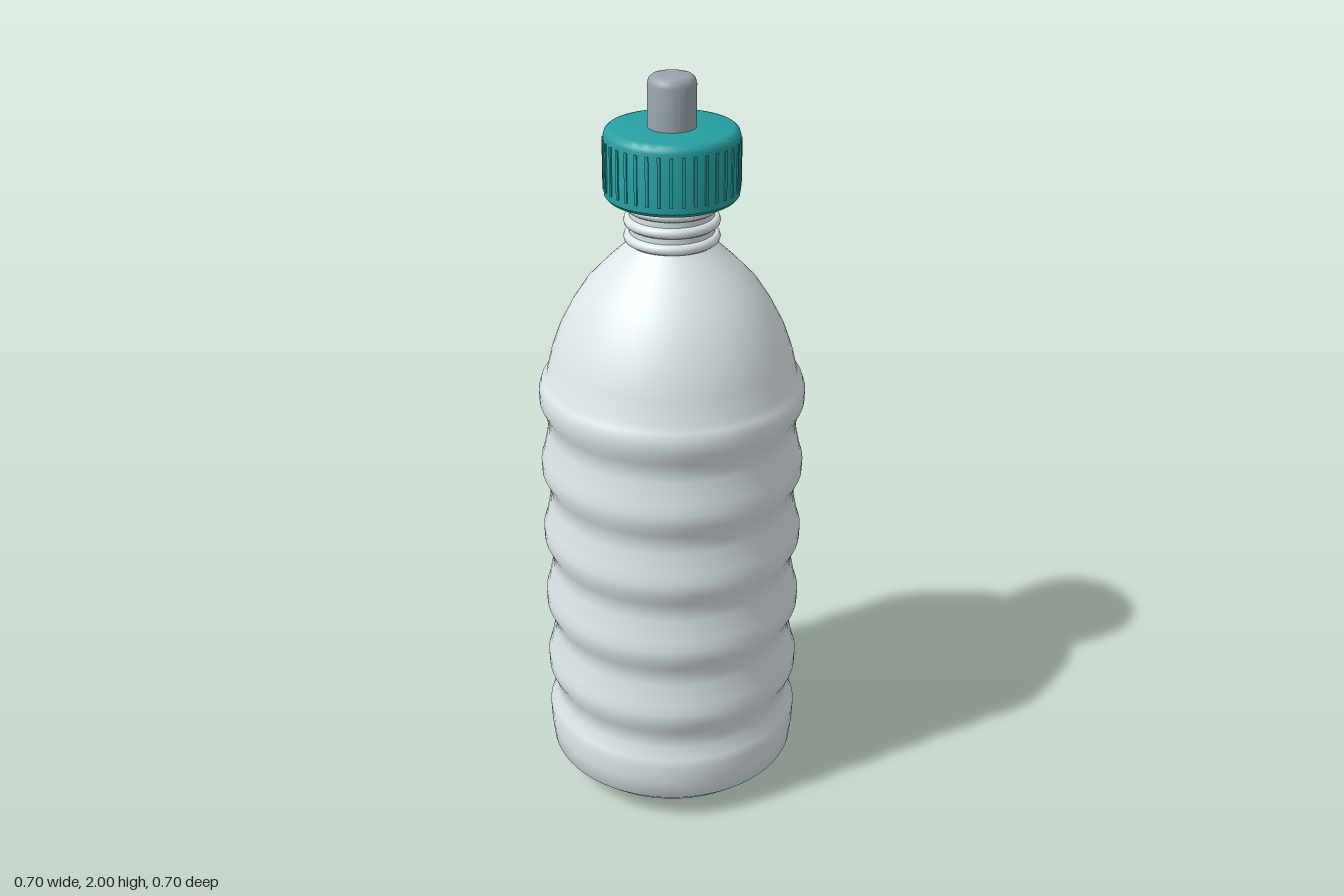
import * as THREE from 'three';
import { toCreasedNormals } from 'three/addons/utils/BufferGeometryUtils.js';

const mat = (color) => new THREE.MeshStandardMaterial({ color });

// Revolves [radius, height] pairs, listed from bottom to top
function lathe(name, points, material, crease) {
  let geo = new THREE.LatheGeometry(points.map(([r, y]) => new THREE.Vector2(r, y)), 64);
  if (crease) geo = toCreasedNormals(geo, crease);
  const mesh = new THREE.Mesh(geo, material);
  mesh.name = name;
  return mesh;
}

export function createModel() {
  const model = new THREE.Group();
  model.name = 'squeezeBottle';
  const plastic = mat(0xdce6e8);
  plastic.side = THREE.DoubleSide;
  const teal = mat(0x26a0a2);
  const grey = mat(0x98a4ab);

  // Body: shallow pointed base, five grip ridges, domed shoulder
  const profile = [[0, 0], [0.15, 0.018], [0.28, 0.033], [0.31, 0.045], [0.342, 0.075], [0.348, 0.13], [0.35, 0.18], [0.342, 0.2]];
  for (let i = 0; i < 5; i++) {
    const y = 0.335 + i * 0.205;
    profile.push([0.33, y - 0.1], [0.329, y - 0.075], [0.335, y - 0.045], [0.349, y - 0.015], [0.35, y + 0.02], [0.342, y + 0.045]);
  }
  profile.push([0.329, 1.215], [0.315, 1.275], [0.292, 1.34], [0.26, 1.402], [0.222, 1.46], [0.17, 1.515], [0.12, 1.562], [0.108, 1.575]);
  model.add(lathe('body', profile, plastic));

  // Neck with screw thread rings
  model.add(lathe('neck', [[0.108, 1.57], [0.108, 1.72]], plastic));
  for (const y of [1.59, 1.633, 1.676]) {
    const ring = new THREE.Mesh(new THREE.TorusGeometry(0.109, 0.014, 10, 64), plastic);
    ring.name = 'threadRing';
    ring.rotation.x = Math.PI / 2;
    ring.position.y = y;
    model.add(ring);
  }

  // Cap with vertical grip ribs
  const cap = new THREE.Group();
  cap.name = 'cap';
  cap.add(lathe('capShell', [[0.1, 1.694], [0.162, 1.694], [0.17, 1.703], [0.17, 1.852],
    [0.167, 1.862], [0.16, 1.869], [0.15, 1.872], [0, 1.872]], teal, 0.7));
  const ribGeo = new THREE.BoxGeometry(0.008, 0.125, 0.008);
  for (let i = 0; i < 36; i++) {
    const a = (i / 36) * Math.PI * 2;
    const rib = new THREE.Mesh(ribGeo, teal);
    rib.name = 'gripRib';
    rib.position.set(Math.sin(a) * 0.169, 1.782, Math.cos(a) * 0.169);
    rib.rotation.y = a;
    cap.add(rib);
  }
  model.add(cap);

  // Nozzle with a rounded tip
  model.add(lathe('nozzle', [[0.061, 1.86], [0.061, 1.978], [0.058, 1.99], [0.05, 1.998], [0.042, 2], [0, 2]], grey, 0.7));
  return model;
}
